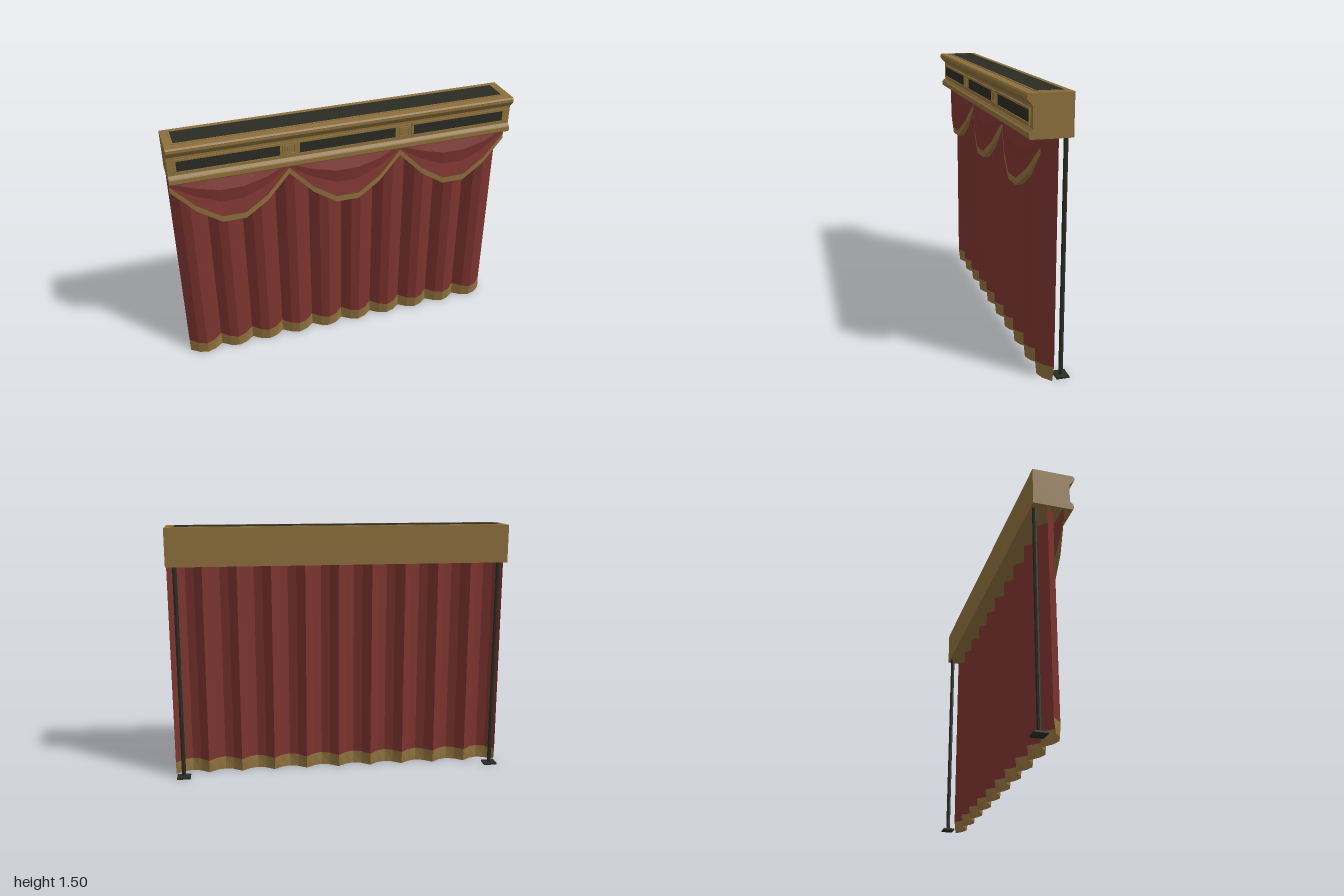
import * as THREE from 'three';

const gold = new THREE.MeshStandardMaterial({ color: 0x8d6f3c, side: THREE.DoubleSide });
gold.name = 'antique gold';
const red = new THREE.MeshStandardMaterial({ color: 0x7a332e, side: THREE.DoubleSide });
red.name = 'deep red cloth';
const dark = new THREE.MeshStandardMaterial({ color: 0x2a2b23 });
dark.name = 'dark metal';

// Faceted sheet through rows of points; rows run from top to bottom, points left to right.
function sheet(rows) {
  const n = rows[0].length, index = [];
  for (let r = 0; r < rows.length - 1; r++) {
    for (let i = 0; i < n - 1; i++) {
      const a = r * n + i, b = a + n;
      index.push(a, b, a + 1, a + 1, b, b + 1);
    }
  }
  const geo = new THREE.BufferGeometry();
  geo.setAttribute('position', new THREE.Float32BufferAttribute(rows.flat(2), 3));
  geo.setIndex(index);
  const flat = geo.toNonIndexed();
  flat.computeVertexNormals();
  return flat;
}

// Rectangular ring in the XY plane with the given depth.
function ring(w, h, border, depth) {
  const s = new THREE.Shape();
  s.moveTo(-w / 2, -h / 2).lineTo(w / 2, -h / 2).lineTo(w / 2, h / 2).lineTo(-w / 2, h / 2).closePath();
  const iw = w / 2 - border, ih = h / 2 - border;
  const hole = new THREE.Path();
  hole.moveTo(-iw, -ih).lineTo(-iw, ih).lineTo(iw, ih).lineTo(iw, -ih).closePath();
  s.holes.push(hole);
  return new THREE.ExtrudeGeometry(s, { depth, bevelEnabled: false });
}

export function createModel() {
  const model = new THREE.Group();
  model.name = 'drapedCurtain';
  const add = (name, geo, mat, x = 0, y = 0, z = 0, parent = model) => {
    const mesh = new THREE.Mesh(geo, mat);
    mesh.name = name;
    mesh.position.set(x, y, z);
    parent.add(mesh);
    return mesh;
  };
  const box = (w, h, d) => new THREE.BoxGeometry(w, h, d);

  // Pelmet: moulded section (z, y) run along x
  const section = [
    [-0.112, 1.275], [0.107, 1.275], [0.115, 1.283], [0.115, 1.308], [0.108, 1.312], [0.095, 1.326],
    [0.095, 1.435], [0.122, 1.465], [0.126, 1.472], [0.126, 1.488], [0.119, 1.496], [-0.112, 1.496],
  ];
  const profile = new THREE.Shape(section.map(([z, y]) => new THREE.Vector2(-z, y)));
  const pelmet = new THREE.ExtrudeGeometry(profile, { depth: 2, bevelEnabled: false });
  pelmet.translate(0, 0, -1).rotateY(Math.PI / 2);
  add('pelmet', pelmet, gold);

  // Top inlay with its rim
  add('topPanel', box(1.9, 0.004, 0.14), dark, 0, 1.497, -0.007);
  const rim = ring(1.92, 0.16, 0.01, 0.004);
  rim.rotateX(-Math.PI / 2);
  add('topPanelRim', rim, gold, 0, 1.496, -0.007);

  // Three framed front panels
  for (const [x, w] of [[-0.672, 0.585], [0, 0.585], [0.672, 0.585]]) {
    add('panelFrame', ring(w, 0.086, 0.012, 0.008), gold, x, 1.379, 0.095);
    add('frontPanel', box(w - 0.024, 0.062, 0.004), dark, x, 1.379, 0.096);
  }
  // Square blocks between the panels
  for (const x of [-1 / 3, 1 / 3]) {
    add('blockBase', box(0.085, 0.08, 0.008), gold, x, 1.379, 0.099);
    add('blockFrame', ring(0.066, 0.062, 0.01, 0.007), gold, x, 1.379, 0.102);
    add('blockCentre', box(0.038, 0.036, 0.008), gold, x, 1.379, 0.103);
  }

  // Pleated curtain and gold hem
  const pleats = (y, scale) => Array.from({ length: 41 }, (_, i) => {
    const fold = Math.abs(Math.sin((i * Math.PI) / 4));
    return [-1 + i * 0.05, y, (fold * 0.07 - 0.035) * scale];
  });
  add('curtain', sheet([pleats(1.28, 1), pleats(0.077, 1)]), red);
  add('curtainHem', sheet([pleats(0.077, 1), pleats(0, 0.76)]), gold);

  // Swags: each row has end height, sag and forward bulge
  const back = 0.056;
  const row = (cx, end, sag, bulge) => Array.from({ length: 6 }, (_, i) => {
    const s = Math.sin((i * Math.PI) / 5) / Math.sin(0.4 * Math.PI);
    return [cx + (i / 5 - 0.5) * (2 / 3), end - sag * s, back + bulge * s];
  });
  for (const cx of [-2 / 3, 0, 2 / 3]) {
    const swag = new THREE.Group();
    swag.name = 'swag';
    model.add(swag);
    const top = row(cx, 1.275, 0, 0);
    const trimTop = row(cx, 1.238, 0.213, 0.042);
    const trimEdge = row(cx, 1.203, 0.215, 0.041);
    const trimBack = row(cx, 1.203, 0.215, 0);
    add('swagCloth', sheet([top, row(cx, 1.262, 0.072, 0.033), row(cx, 1.25, 0.14, 0.023), trimTop]),
      red, 0, 0, 0, swag);
    add('swagBack', sheet([trimBack, top]), red, 0, 0, 0, swag);
    add('swagTrim', sheet([trimTop, trimEdge, trimBack]), gold, 0, 0, 0, swag);
  }

  // Rear posts and feet
  for (const x of [-0.95, 0.95]) {
    const post = new THREE.CylinderGeometry(0.0125, 0.0125, 1.27, 8).toNonIndexed();
    post.computeVertexNormals();
    add('post', post, dark, x, 0.64, -0.09);
    add('foot', box(0.08, 0.01, 0.07), dark, x, 0.005, -0.09);
  }
  return model;
}
